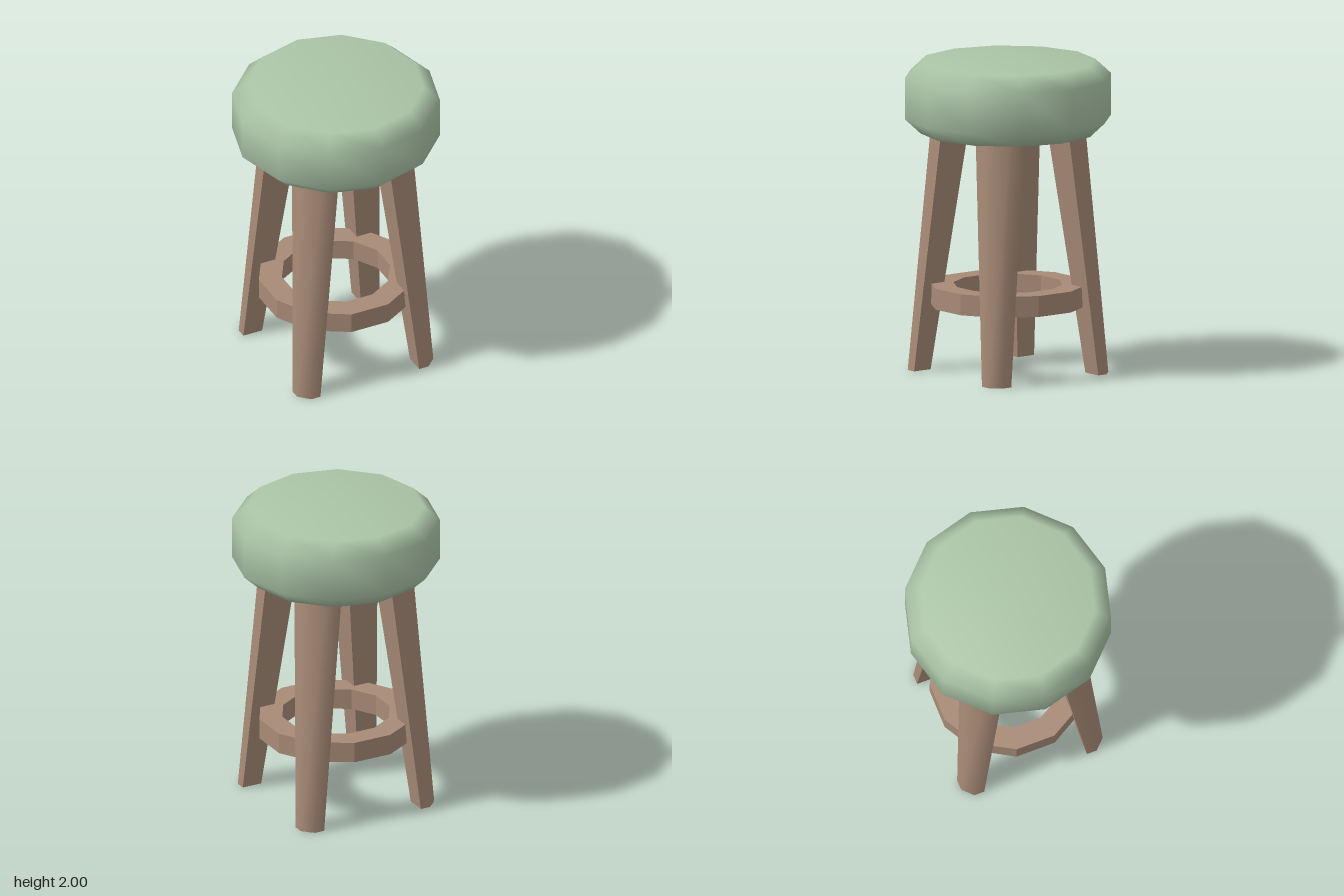
import * as THREE from 'three';
import { toCreasedNormals } from 'three/addons/utils/BufferGeometryUtils.js';

const SEAT_BOTTOM = 1.545;

// Twelve-sided padded cushion with bevelled rims, smooth shaded.
function cushionGeometry() {
  const profile = [
    [0, SEAT_BOTTOM], [0.56, SEAT_BOTTOM], [0.662, 1.64],
    [0.662, 1.905], [0.56, 2], [0, 2],
  ].map(([r, y]) => new THREE.Vector2(r, y));
  return new THREE.LatheGeometry(profile, 12);
}

// Square section between inner and outer, with the outermost corner cut off.
function legSection(inner, outer, y) {
  const cut = (inner + outer) / 2;
  return [[inner, inner], [outer, inner], [outer, cut], [cut, outer], [inner, outer]]
    .map(([x, z]) => [x, y, z]);
}

// Leg that widens and leans inward toward the seat.
function legGeometry() {
  const low = legSection(0.35, 0.483, 0);
  const high = legSection(0.174, 0.397, 1.6);
  const n = low.length;
  const positions = [];
  const tri = (...corners) => corners.forEach((c) => positions.push(...c));
  for (let i = 0; i < n; i++) {
    const j = (i + 1) % n;
    tri(low[i], high[i], low[j]);
    tri(low[j], high[i], high[j]);
  }
  for (let i = 1; i < n - 1; i++) {
    tri(low[0], low[i], low[i + 1]);
    tri(high[0], high[i + 1], high[i]);
  }
  const geometry = new THREE.BufferGeometry();
  geometry.setAttribute('position', new THREE.Float32BufferAttribute(positions, 3));
  geometry.computeVertexNormals();
  return toCreasedNormals(geometry, 0.9);
}

// Corners of a regular twelve-sided polygon with a flat side facing each axis.
function polygon(radius) {
  return Array.from({ length: 12 }, (_, i) => {
    const a = ((i + 0.5) * Math.PI) / 6;
    return new THREE.Vector2(Math.cos(a) * radius, Math.sin(a) * radius);
  });
}

// Flat-sided ring joining the legs.
function footRingGeometry() {
  const shape = new THREE.Shape(polygon(0.5));
  shape.holes.push(new THREE.Path(polygon(0.35)));
  const geometry = new THREE.ExtrudeGeometry(shape, { depth: 0.135, bevelEnabled: false });
  geometry.rotateX(-Math.PI / 2);
  geometry.translate(0, 0.43, 0);
  return geometry;
}

export function createModel() {
  const fabric = new THREE.MeshStandardMaterial({ color: 0xabc4a7 });
  fabric.name = 'sage fabric';
  const wood = new THREE.MeshStandardMaterial({ color: 0xa88b77 });
  wood.name = 'brown wood';

  const stool = new THREE.Group();
  stool.name = 'stool';
  const add = (name, geometry, material) => {
    const mesh = new THREE.Mesh(geometry, material);
    mesh.name = name;
    stool.add(mesh);
    return mesh;
  };

  add('seatCushion', cushionGeometry(), fabric);
  add('footRing', footRingGeometry(), wood);

  // Four legs on the diagonals
  const leg = legGeometry();
  ['frontLeftLeg', 'backLeftLeg', 'backRightLeg', 'frontRightLeg'].forEach((name, i) => {
    add(name, leg, wood).rotation.y = (i * Math.PI) / 2;
  });

  return stool;
}
